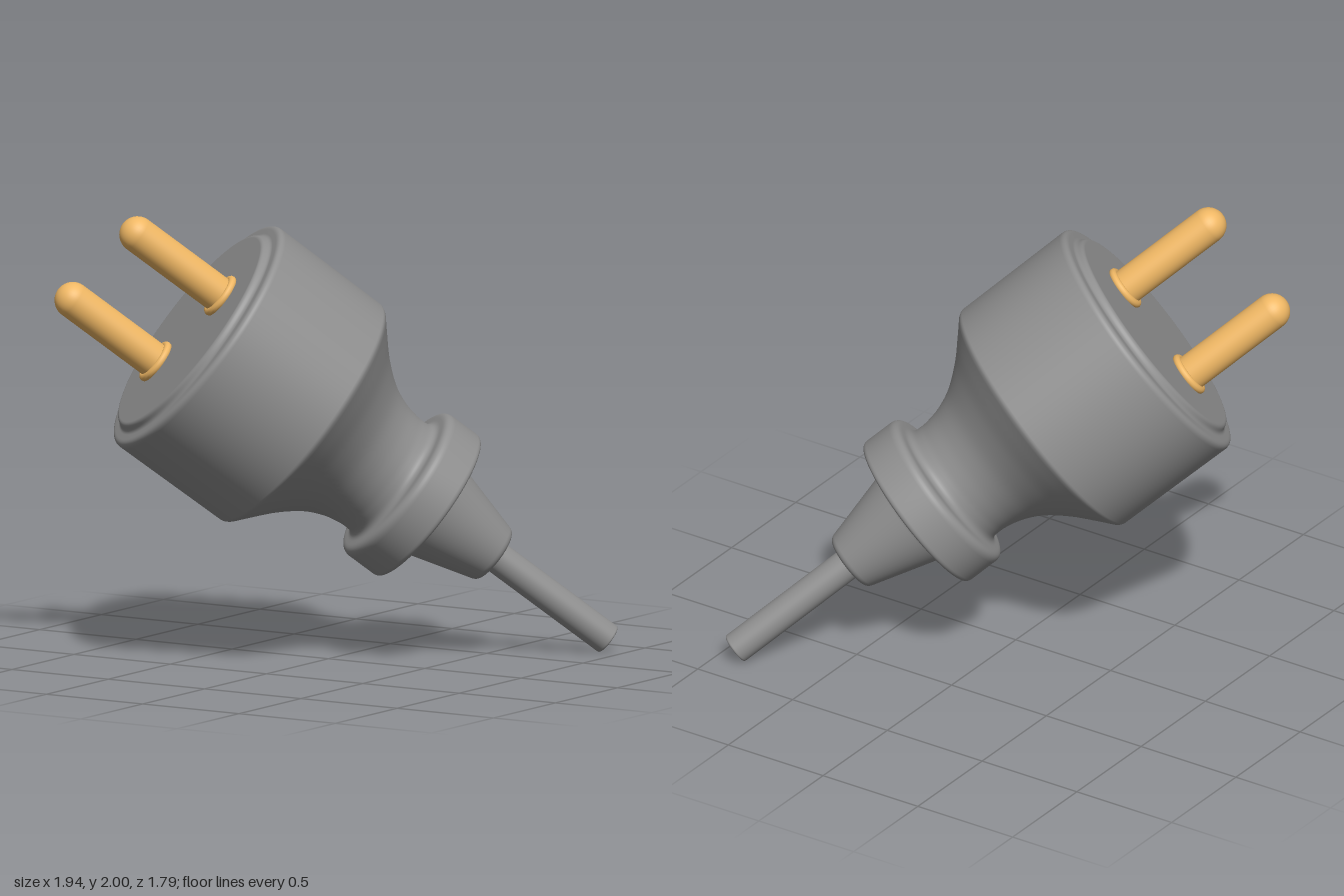
import * as THREE from 'three';

const grey = new THREE.MeshStandardMaterial({ color: 0x8f8f8f });
const brass = new THREE.MeshStandardMaterial({ color: 0xefb764 });

// Turns [radius, height, fillet] corners into a lathe profile with rounded corners
function roundedProfile(corners) {
  const pts = corners.map(([r, h]) => new THREE.Vector2(r, h));
  const out = [];
  corners.forEach(([, , fillet], i) => {
    const p = pts[i];
    if (!fillet) return out.push(p);
    const a = pts[i - 1].clone().sub(p).setLength(fillet).add(p);
    const b = pts[i + 1].clone().sub(p).setLength(fillet).add(p);
    out.push(...new THREE.QuadraticBezierCurve(a, p, b).getPoints(8));
  });
  return out;
}

function turned(name, points, segments = 96) {
  const mesh = new THREE.Mesh(new THREE.LatheGeometry(points, segments), grey);
  mesh.name = name;
  return mesh;
}

export function createModel() {
  const plug = new THREE.Group();
  plug.name = 'plug';

  // Cable, running from the origin up the plug's own axis
  plug.add(turned('cable', roundedProfile([
    [0, -0.01], [0.07, -0.01, 0.01], [0.07, 0.7],
  ]), 48));

  // Body: strain relief cone, grip flange, concave neck, barrel and stepped face
  const lower = roundedProfile([
    [0.06, 0.622], [0.132, 0.622, 0.03], [0.235, 0.993, 0.035],
    [0.379, 0.993, 0.025], [0.379, 1.185, 0.04], [0.288, 1.19, 0.035], [0.286, 1.235],
  ]);
  const neck = new THREE.SplineCurve([
    [0.286, 1.235], [0.288, 1.28], [0.306, 1.36], [0.348, 1.45], [0.427, 1.55], [0.515, 1.635], [0.575, 1.69],
  ].map(([r, h]) => new THREE.Vector2(r, h))).getPoints(30);
  const upper = roundedProfile([
    [0.575, 1.69], [0.586, 1.705, 0.01], [0.592, 2.293, 0.03], [0.524, 2.295, 0.015],
    [0.508, 2.328, 0.015], [0, 2.328],
  ]);
  plug.add(turned('body', [...lower, ...neck.slice(1), ...upper.slice(1)]));

  // Two round contact pins, each with a collar ring on the face
  for (const side of [-1, 1]) {
    const pin = new THREE.Group();
    pin.name = side > 0 ? 'leftPin' : 'rightPin';
    const shaft = new THREE.Mesh(new THREE.CapsuleGeometry(0.08, 0.5, 12, 40), brass);
    shaft.name = 'pinShaft';
    shaft.position.y = 2.55;
    const collar = new THREE.Mesh(new THREE.TorusGeometry(0.085, 0.018, 12, 48), brass);
    collar.name = 'pinCollar';
    collar.rotation.x = Math.PI / 2;
    collar.position.y = 2.338;
    pin.add(shaft, collar);
    pin.position.x = side * 0.234;
    plug.add(pin);
  }

  // Lean the whole plug so the pins point up, forward and to its right
  const up = new THREE.Vector3(-0.583, 0.608, 0.54).normalize();
  const across = new THREE.Vector3(0.728, 0.685, 0.015);
  across.addScaledVector(up, -across.dot(up)).normalize();
  const back = new THREE.Vector3().crossVectors(across, up);
  plug.quaternion.setFromRotationMatrix(new THREE.Matrix4().makeBasis(across, up, back));
  plug.position.set(0.91, 0.056, -0.83);

  const model = new THREE.Group();
  model.name = 'powerPlug';
  model.add(plug);
  return model;
}
